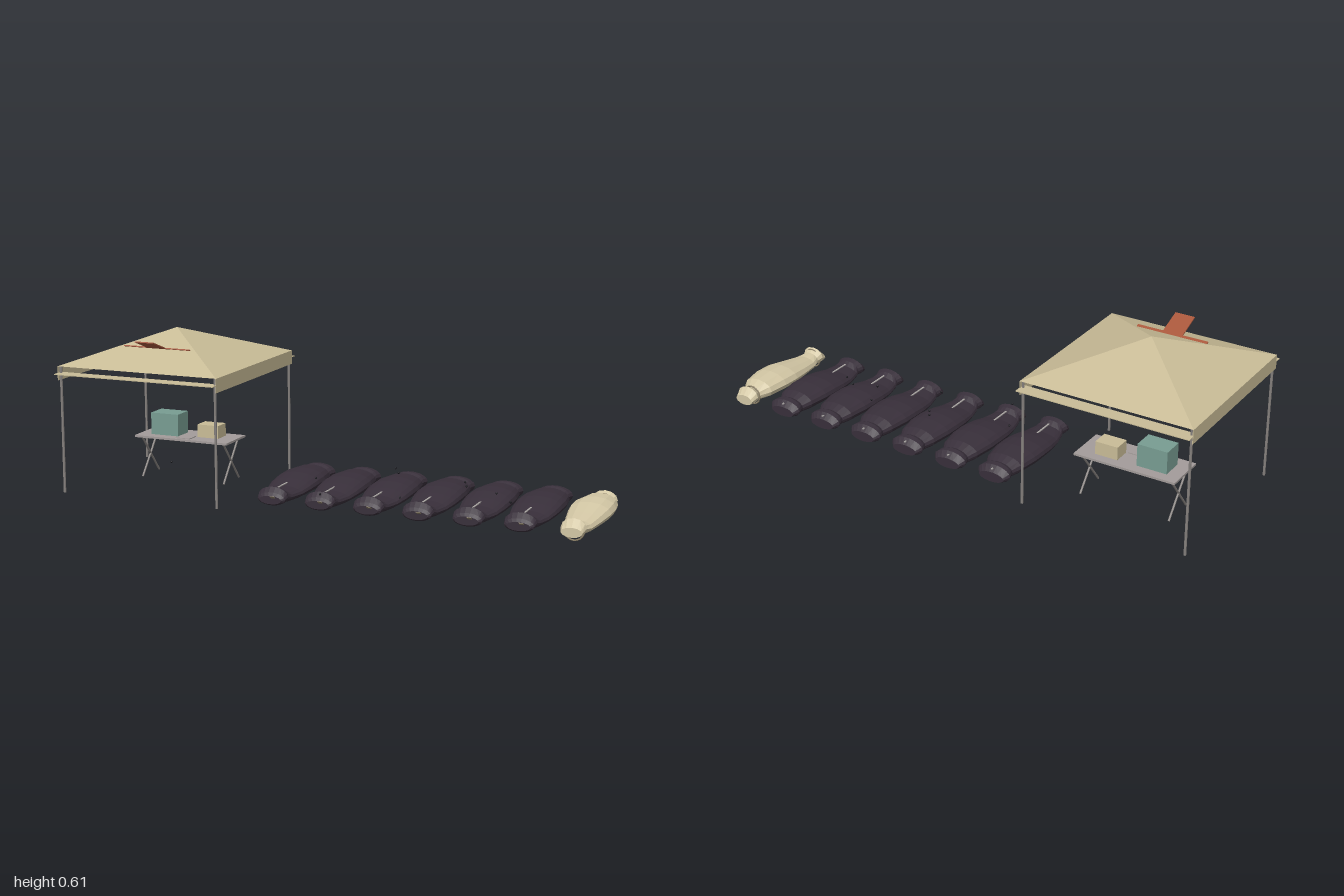
import * as THREE from 'three';

const mat = (name, color, extra = {}) => {
  const m = new THREE.MeshStandardMaterial({ color, flatShading: true, ...extra });
  m.name = name;
  return m;
};

// Closed loft along z from sections [z, halfWidth, bottomY, topY]
function loft(sections, sides) {
  const pos = [], idx = [];
  for (const [z, w, low, top] of sections) {
    for (let j = 0; j < sides; j++) {
      const a = (j / sides) * Math.PI * 2;
      pos.push(w * Math.cos(a), (low + top) / 2 + ((top - low) / 2) * Math.sin(a), z);
    }
  }
  const last = sections.length - 1;
  for (let i = 0; i < last; i++) {
    for (let j = 0; j < sides; j++) {
      const a = i * sides + j, b = i * sides + ((j + 1) % sides);
      idx.push(a, b, a + sides, b, b + sides, a + sides);
    }
  }
  for (const i of [0, last]) {
    const [z, , low, top] = sections[i];
    const c = pos.length / 3;
    pos.push(0, (low + top) / 2, z);
    for (let j = 0; j < sides; j++) {
      const a = i * sides + j, b = i * sides + ((j + 1) % sides);
      if (i === 0) idx.push(c, b, a);
      else idx.push(c, a, b);
    }
  }
  const g = new THREE.BufferGeometry();
  g.setAttribute('position', new THREE.Float32BufferAttribute(pos, 3));
  g.setIndex(idx);
  g.computeVertexNormals();
  return g;
}

export function createModel() {
  const root = new THREE.Group();
  root.name = 'fieldStation';
  const canvas = mat('canvas', 0xc9bc97, { side: THREE.DoubleSide });
  const linen = mat('linen', 0xd3c7a5);
  const vinyl = mat('darkVinyl', 0x382f3a);
  const steel = mat('steel', 0x85807d);
  const tableGrey = mat('tableGrey', 0xa39c9a);
  const teal = mat('teal', 0x789d92);
  const red = mat('brickRed', 0xa8573b);
  const zip = mat('zipGrey', 0xa9a5a2);
  const black = mat('flyBlack', 0x15151a);
  const cord = mat('cord', 0x8c8068);

  const add = (parent, name, geo, m, x = 0, y = 0, z = 0) => {
    const mesh = new THREE.Mesh(geo, m);
    mesh.name = name;
    mesh.position.set(x, y, z);
    parent.add(mesh);
    return mesh;
  };
  const box = (parent, name, m, w, h, d, x, y, z) =>
    add(parent, name, new THREE.BoxGeometry(w, h, d), m, x, y, z);
  const group = (name, x, z) => {
    const g = new THREE.Group();
    g.name = name;
    g.position.set(x, 0, z);
    root.add(g);
    return g;
  };

  // Canopy: open pyramid roof, valances and four poles
  const tent = group('canopy', -0.677, 0);
  const half = 0.323;
  const roof = new THREE.ConeGeometry(half * Math.SQRT2, 0.118, 4, 1, true);
  roof.rotateY(Math.PI / 4);
  add(tent, 'roof', roof, canvas, 0, 0.549, 0);
  for (const s of [-1, 1]) {
    box(tent, 'sideValance', canvas, 0.003, 0.052, half * 2, s * 0.322, 0.464, 0);
    box(tent, 'endValance', canvas, half * 2, 0.003, 0.052, 0, 0.464, s * 0.324);
    for (const t of [-1, 1]) {
      add(tent, 'pole', new THREE.CylinderGeometry(0.005, 0.005, 0.475, 8), steel,
        s * 0.314, 0.2525, t * 0.314);
    }
  }

  // Tilted cross passing through the front slope
  const cross = new THREE.Group();
  cross.name = 'roofCross';
  cross.position.set(0, 0.542, 0.128);
  cross.rotation.x = -0.349;
  tent.add(cross);
  box(cross, 'crossBar', red, 0.27, 0.004, 0.075, 0, 0, 0);
  box(cross, 'crossStem', red, 0.075, 0.004, 0.27, 0, 0, 0);

  // Folding table with crossed legs and supplies
  const table = group('table', -0.675, -0.085);
  box(table, 'tableTop', tableGrey, 0.39, 0.008, 0.161, 0, 0.174, 0);
  for (const s of [-1, 1]) {
    for (const t of [-1, 1]) {
      const leg = add(table, 'tableLeg', new THREE.CylinderGeometry(0.004, 0.004, 0.205, 8), steel,
        s * 0.173, 0.0935, 0);
      leg.rotation.x = t * Math.atan2(0.13, 0.157);
    }
  }
  box(table, 'supplyBox', teal, 0.115, 0.084, 0.082, -0.0875, 0.22, -0.001);
  box(table, 'carton', canvas, 0.087, 0.049, 0.065, 0.0865, 0.2025, -0.0125);
  box(table, 'clipboard', tableGrey, 0.06, 0.003, 0.05, 0.005, 0.1795, 0.045);

  // Row of dark bags with zip and tag
  const bagGeo = loft([
    [-0.255, 0.05, 0.022, 0.06], [-0.235, 0.066, 0.016, 0.081], [-0.215, 0.06, 0.016, 0.083],
    [-0.2, 0.055, 0.016, 0.076], [-0.165, 0.073, 0.016, 0.089], [-0.09, 0.086, 0.016, 0.093],
    [-0.03, 0.087, 0.016, 0.09], [0.03, 0.083, 0.016, 0.08], [0.09, 0.072, 0.016, 0.066],
    [0.145, 0.058, 0.016, 0.065], [0.165, 0.05, 0.016, 0.078], [0.185, 0.058, 0.016, 0.083],
    [0.203, 0.054, 0.018, 0.066], [0.212, 0.043, 0.024, 0.055],
  ], 18);
  const pitch = 0.1858;
  for (let i = 0; i < 6; i++) {
    const bag = group('bag', -0.2 + i * pitch, 0);
    add(bag, 'bagBody', bagGeo, vinyl);
    box(bag, 'zip', zip, 0.006, 0.003, 0.4, 0, 0.0708, -0.052);
    const tag = box(bag, 'tag', cord, 0.016, 0.002, 0.02, 0.012, 0.05, 0.215);
    tag.rotation.x = -0.6;
  }

  // Linen shroud tied at both ends
  const shroud = group('shroud', -0.2 + 6 * pitch, 0);
  add(shroud, 'shroudBody', loft([
    [-0.255, 0.038, 0.018, 0.058], [-0.228, 0.047, 0.015, 0.083], [-0.203, 0.034, 0.016, 0.07],
    [-0.165, 0.064, 0.015, 0.088], [-0.09, 0.077, 0.015, 0.093], [-0.02, 0.077, 0.015, 0.089],
    [0.06, 0.064, 0.015, 0.074], [0.13, 0.05, 0.015, 0.062], [0.165, 0.037, 0.016, 0.066],
    [0.185, 0.045, 0.015, 0.082], [0.212, 0.038, 0.02, 0.055],
  ], 12), linen);
  for (const z of [-0.205, 0.178]) {
    add(shroud, 'tie', new THREE.TorusGeometry(0.036, 0.003, 6, 20), cord, 0, 0.039, z);
  }

  // Flies hovering over the row
  const flyGeo = new THREE.SphereGeometry(0.004, 8, 6);
  for (const [x, y, z] of [
    [0.16, 0.12, -0.107], [0.185, 0.113, -0.07], [-0.66, 0.113, 0.095], [0.47, 0.107, 0.002],
    [0.435, 0.098, -0.088], [-0.1, 0.089, 0.03], [0.65, 0.078, 0.05], [0.58, 0.09, -0.005],
    [0.27, 0.078, 0.138], [-0.01, 0.077, 0.2],
  ]) add(root, 'fly', flyGeo, black, x, y, z);

  return root;
}
